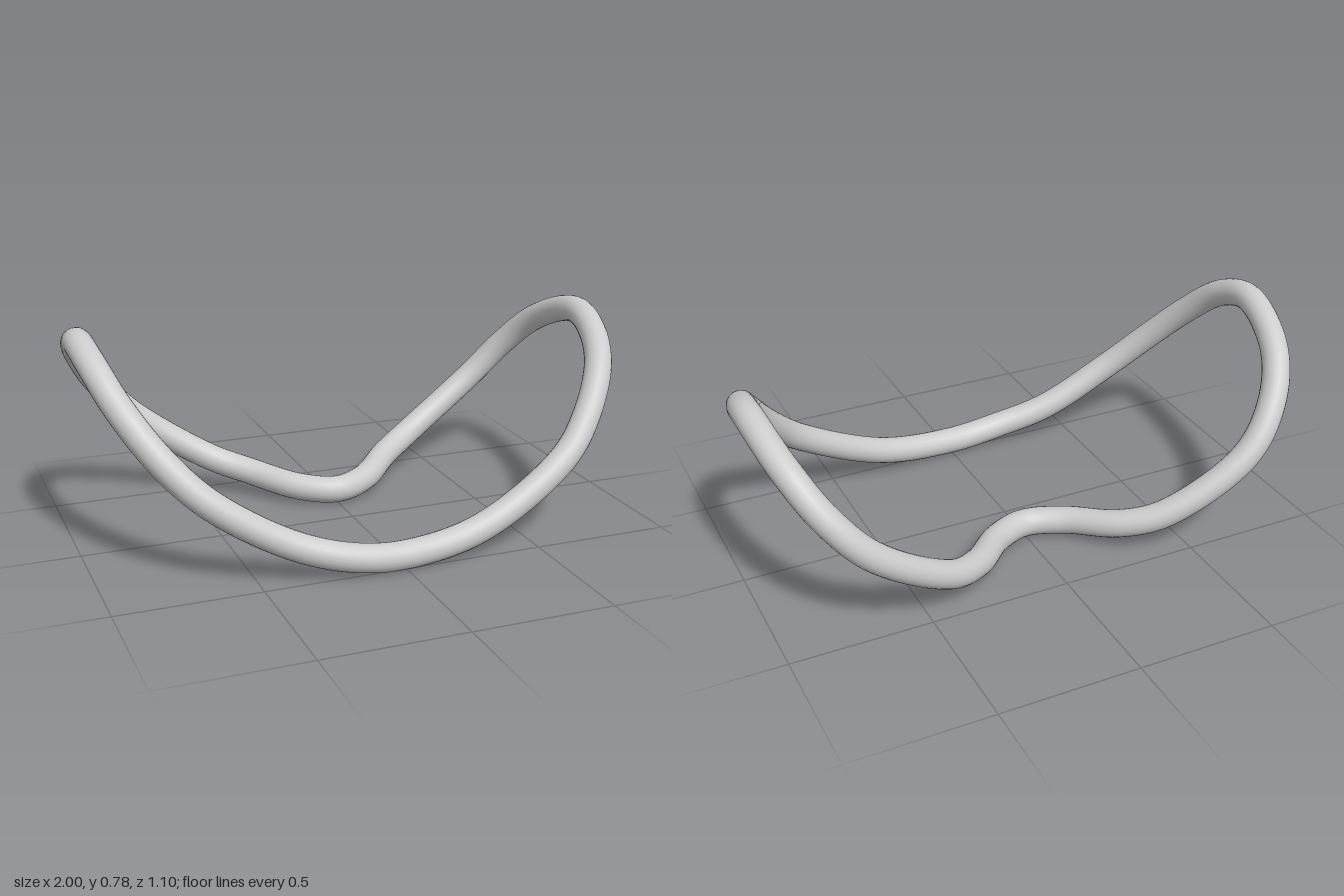
import * as THREE from 'three';

// Plan outline of the loop as [x, z], starting at the middle of the front
const OUTLINE = [
  [0, 0.495], [0.3, 0.466], [0.64, 0.398], [0.77, 0.325], [0.88, 0.205], [0.93, 0.06],
  [0.946, -0.1], [0.907, -0.33], [0.83, -0.45], [0.7, -0.5], [0.42, -0.455],
  [0.28, -0.37], [0.13, -0.22], [0, -0.165], [-0.13, -0.22], [-0.28, -0.37],
  [-0.42, -0.45], [-0.7, -0.503], [-0.83, -0.45], [-0.91, -0.33], [-0.95, -0.1],
  [-0.935, 0.06], [-0.88, 0.2], [-0.78, 0.32], [-0.65, 0.398], [-0.4, 0.452], [-0.2, 0.493],
];
const TUBE_RADIUS = 0.05;

// The loop is bent upwards around a circular arc, a little tighter on the right
function bendHeight(x) {
  const r = x > 0 ? 1.0255 : 1.005;
  return 0.053 + r - Math.sqrt(r * r - x * x);
}

export function createModel() {
  const model = new THREE.Group();
  const points = OUTLINE.map(([x, z]) => new THREE.Vector3(x, bendHeight(x), z));
  const path = new THREE.CatmullRomCurve3(points, true, 'centripetal');

  // One closed round tube swept along the bent outline
  const loop = new THREE.Mesh(
    new THREE.TubeGeometry(path, 240, TUBE_RADIUS, 24, true),
    new THREE.MeshStandardMaterial({ color: 0xcccccc })
  );
  loop.name = 'bentLoop';
  model.add(loop);
  return model;
}
